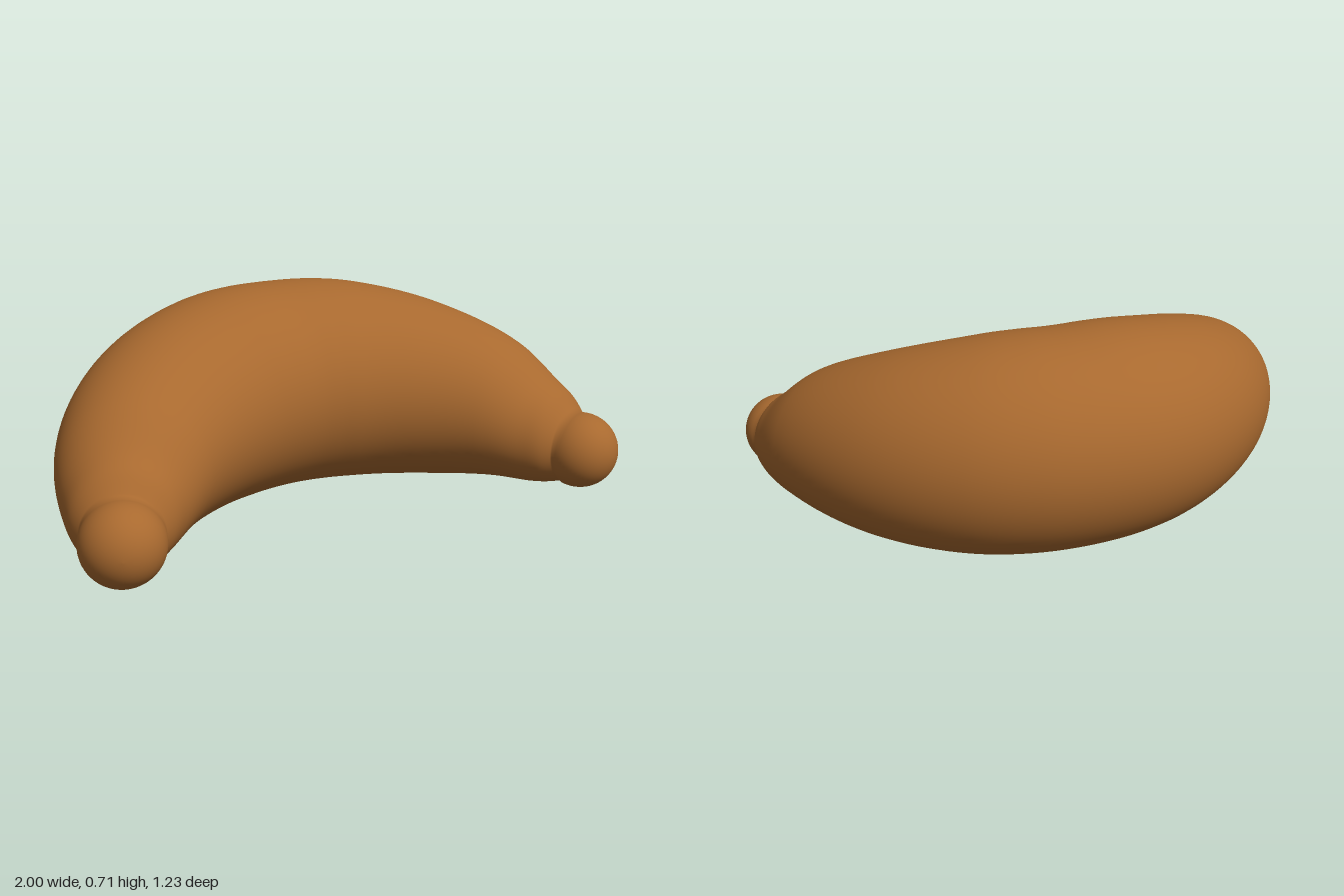
import * as THREE from 'three';

// Half of the body, middle to neck: place along the spine, centre height, radius
const PROFILE = [
  [0, 0.335, 0.38], [0.12, 0.334, 0.379], [0.25, 0.327, 0.37], [0.5, 0.3, 0.327],
  [0.75, 0.253, 0.253], [0.875, 0.198, 0.193], [0.925, 0.182, 0.166], [0.967, 0.162, 0.13],
];
const TIP = { x: 0.865, y: 0.155, z: 0.48, r: 0.135 };
const BODY_RINGS = 72, TIP_RINGS = 20, SIDES = 64;

// Round sections from the middle to the end of one arm
function armRings() {
  const spine = new THREE.CubicBezierCurve3(
    new THREE.Vector3(0, 0, -0.24), new THREE.Vector3(0.42, 0, -0.24),
    new THREE.Vector3(0.73, 0, 0.1), new THREE.Vector3(TIP.x, 0, TIP.z));
  const profile = new THREE.CatmullRomCurve3(PROFILE.map((p) => new THREE.Vector3(...p)));
  const rings = [];
  for (let i = 0; i <= BODY_RINGS; i++) {
    const s = profile.getPoint(i / BODY_RINGS);
    const c = spine.getPoint(s.x), t = spine.getTangent(s.x);
    rings.push({ x: c.x, y: s.y, z: c.z, r: s.z, nx: t.z, nz: -t.x });
  }
  // Ball-shaped end, continuing out of the neck
  const t = spine.getTangent(1);
  for (let i = 1; i <= TIP_RINGS; i++) {
    const phi = THREE.MathUtils.lerp(-0.25, Math.PI / 2, i / TIP_RINGS);
    const d = TIP.r * Math.sin(phi);
    rings.push({
      x: TIP.x + t.x * d, y: TIP.y, z: TIP.z + t.z * d,
      r: TIP.r * Math.cos(phi), nx: t.z, nz: -t.x,
    });
  }
  return rings;
}

function makeGeometry(positions, index) {
  const g = new THREE.BufferGeometry();
  g.setAttribute('position', new THREE.Float32BufferAttribute(positions, 3));
  g.setIndex(index);
  g.computeVertexNormals();
  return g;
}

export function createModel() {
  const group = new THREE.Group();
  group.name = 'croissant';
  const crust = new THREE.MeshStandardMaterial({ color: 0xa8692f });
  crust.name = 'bakedCrust';

  const add = (name, geometry) => {
    const mesh = new THREE.Mesh(geometry, crust);
    mesh.name = name;
    group.add(mesh);
  };

  // Mirror the arm into one tip-to-tip sweep
  const arm = armRings();
  const mirrored = arm.slice(1).reverse().map((q) => ({ ...q, x: -q.x, nx: -q.nx }));
  const rings = [...mirrored, ...arm];

  const skin = [], skinIndex = [], base = [], baseIndex = [];
  rings.forEach((q, i) => {
    // Each round section is cut off where it meets the ground
    const start = Math.acos(Math.min(1, q.y / q.r));
    for (let j = 0; j <= SIDES; j++) {
      const a = start + (j / SIDES) * 2 * (Math.PI - start);
      const s = Math.sin(a) * q.r;
      const p = [q.x + q.nx * s, Math.max(0, q.y - Math.cos(a) * q.r), q.z + q.nz * s];
      skin.push(...p);
      if (j === 0 || j === SIDES) base.push(...p);
      if (i < rings.length - 1 && j < SIDES) {
        const k = i * (SIDES + 1) + j, n = k + SIDES + 1;
        skinIndex.push(k, k + 1, n, k + 1, n + 1, n);
      }
    }
    if (i < rings.length - 1) {
      const b = i * 2;
      baseIndex.push(b, b + 2, b + 1, b + 1, b + 2, b + 3);
    }
  });
  add('curvedBody', makeGeometry(skin, skinIndex));
  add('flatUnderside', makeGeometry(base, baseIndex));
  return group;
}
